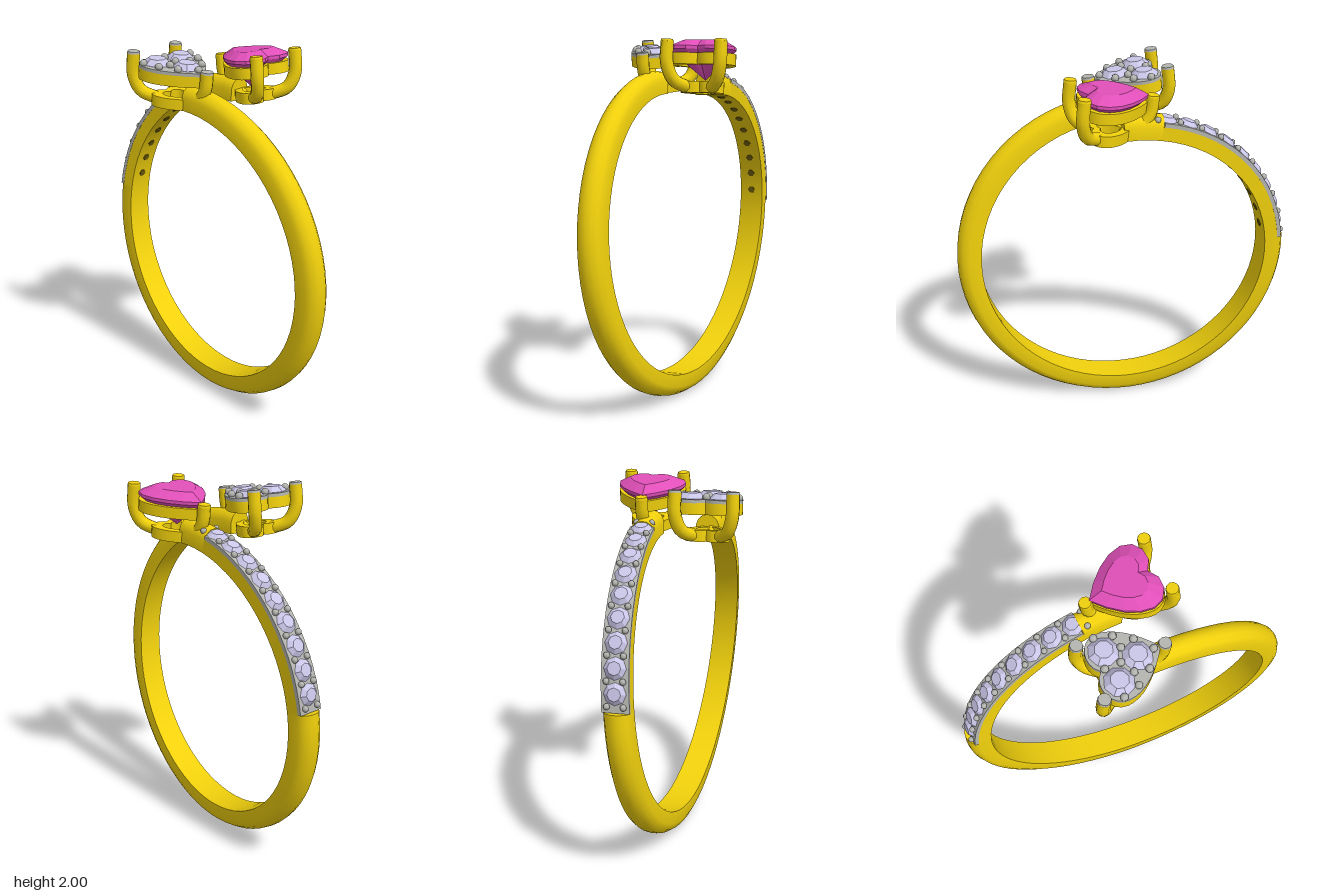
import * as THREE from 'three';
import { toCreasedNormals } from 'three/addons/utils/BufferGeometryUtils.js';

const mat = (color, flatShading = false) => new THREE.MeshStandardMaterial({ color, flatShading });
const gold = mat(0xf0d00c), silver = mat(0xb4b4b0), holeGold = mat(0x6e5c08);
const clear = mat(0xcac6e8, true), pink = mat(0xe04fb8, true);
const RAD = Math.PI / 180, CY = 0.91, R_IN = 0.787, R_OUT = 0.912;

function add(parent, name, geometry, material, x = 0, y = 0, z = 0) {
  const m = new THREE.Mesh(geometry, material);
  m.name = name;
  m.position.set(x, y, z);
  parent.add(m);
  return m;
}

// Skin over closed cross-section loops, with fan caps
function loft(rings) {
  const n = rings[0].length, pos = rings.flat(2), idx = [];
  for (let i = 0; i < rings.length - 1; i++)
    for (let j = 0; j < n; j++) {
      const a = i * n + j, b = i * n + (j + 1) % n;
      idx.push(a, a + n, b, b, a + n, b + n);
    }
  const e = (rings.length - 1) * n;
  for (let j = 1; j < n - 1; j++) idx.push(0, j, j + 1, e, e + j + 1, e + j);
  const g = new THREE.BufferGeometry();
  g.setAttribute('position', new THREE.Float32BufferAttribute(pos, 3));
  g.setIndex(idx);
  return g;
}

// Band path: angle t runs from the bottom (0) up either side, drifting in z
const bandZ = t => 0.165 * Math.sin(0.6 * t);
const halfWidth = t => 0.08 - 0.018 * Math.abs(t) / Math.PI;
const onBand = (t, r, dz = 0) => [r * Math.sin(t), CY - r * Math.cos(t), bandZ(t) + dz];
const SECTION = [[-1, 0], [-1, 0.55], [-0.8, 0.8], [-0.4, 0.96], [0, 1], [0.4, 0.96], [0.8, 0.8], [1, 0.55], [1, 0]];

function bandRing(t, rIn, rOut, dome, grow = 0) {
  return SECTION.map(([w, h]) => {
    const k = h === 0 ? 0 : 1 - (1 - h) * dome;
    return onBand(t, rIn + (rOut - rIn) * k, w * (halfWidth(t) + grow));
  });
}

function bandRings(from, to, rIn, rOut, dome, grow) {
  const n = Math.ceil((to - from) / 5), rings = [];
  for (let i = 0; i <= n; i++) rings.push(bandRing((from + (to - from) * i / n) * RAD, rIn, rOut, dome, grow));
  return rings;
}

// Small faceted round stone
const stoneGeometry = r => new THREE.LatheGeometry(
  [[0, -0.5], [1, 0], [0.6, 0.36], [0, 0.36]].map(([x, y]) => new THREE.Vector2(x * r, y * r)), 8);

// Heart outline, point toward +x
function heart(s = 1, Type = THREE.Shape) {
  const p = new Type();
  p.moveTo(0.19 * s, 0);
  p.bezierCurveTo(0.12 * s, 0.1 * s, 0.02 * s, 0.185 * s, -0.07 * s, 0.185 * s);
  p.bezierCurveTo(-0.16 * s, 0.185 * s, -0.2 * s, 0.06 * s, -0.13 * s, 0);
  p.bezierCurveTo(-0.2 * s, -0.06 * s, -0.16 * s, -0.185 * s, -0.07 * s, -0.185 * s);
  p.bezierCurveTo(0.02 * s, -0.185 * s, 0.12 * s, -0.1 * s, 0.19 * s, 0);
  return p;
}

function heartSlab(outer, inner, depth) {
  const shape = heart(outer);
  if (inner) shape.holes.push(heart(inner, THREE.Path));
  const g = new THREE.ExtrudeGeometry(shape, { depth, bevelEnabled: false, curveSegments: 8 });
  return toCreasedNormals(g.rotateX(-Math.PI / 2), 0.7);
}

// Heart basket: two rails and three curved prongs
function setting(name, tipMaterial) {
  const g = new THREE.Group();
  g.name = name;
  add(g, 'upperRail', heartSlab(1, 0.76, 0.06), gold, 0, -0.055);
  add(g, 'lowerRail', heartSlab(0.64, 0.36, 0.06), gold, 0, -0.2);
  const paths = [[[0.08, -0.17, 0], [0.16, -0.14, 0], [0.208, -0.06, 0], [0.213, 0.03, 0]]];
  for (const s of [-1, 1])
    paths.push([[-0.08, -0.17, 0.07 * s], [-0.15, -0.14, 0.12 * s], [-0.185, -0.06, 0.148 * s], [-0.188, 0.06, 0.15 * s]]);
  for (const p of paths) {
    const pts = p.map(q => new THREE.Vector3(...q));
    add(g, 'prong', new THREE.TubeGeometry(new THREE.CatmullRomCurve3(pts), 12, 0.035, 10), gold);
    add(g, 'prongFoot', new THREE.SphereGeometry(0.034, 10, 6), gold, ...p[0]);
    add(g, 'prongTip', new THREE.CylinderGeometry(0.032, 0.035, 0.012, 10), tipMaterial, p[3][0], p[3][1] + 0.004, p[3][2]);
  }
  g.rotation.z = -0.1;
  return g;
}

export function createModel() {
  const model = new THREE.Group();
  model.name = 'ring';

  // Band, stepped down where the small stones sit
  const band = loft([
    ...bandRings(-183, -169, R_IN, R_OUT, 1),
    ...bandRings(-169, -96, R_IN, 0.868, 0.05),
    ...bandRings(-96, 181, R_IN, R_OUT, 1),
  ]);
  add(model, 'band', toCreasedNormals(band, 0.6), gold);
  const seat = loft(bandRings(-168.8, -96.2, 0.862, 0.885, 0.1, 0.001));
  add(model, 'stoneSeat', toCreasedNormals(seat, 0.6), silver);

  // Row of stones with drilled backs, and bead pairs between them
  const row = new THREE.Group();
  row.name = 'stoneRow';
  model.add(row);
  const small = stoneGeometry(0.058), bead = new THREE.SphereGeometry(0.017, 8, 6);
  const drill = new THREE.CylinderGeometry(0.022, 0.022, 0.01, 6);
  for (let i = 0; i < 10; i++) {
    const tBead = -(98.3 + 8.1 * i) * RAD;
    for (const s of [-1, 1]) add(row, 'bead', bead, silver, ...onBand(tBead, 0.892, s * 0.042));
    if (i === 9) break;
    const t = -(102.4 + 8.1 * i) * RAD;
    add(row, 'smallStone', small, clear, ...onBand(t, 0.884)).rotation.z = t + Math.PI;
    add(row, 'drilledHole', drill, holeGold, ...onBand(t, R_IN)).rotation.z = t + Math.PI;
  }

  // Front heart: plate set with three stones and beads
  const front = setting('pavedHeart', silver);
  front.position.set(-0.08, 1.905, 0.18);
  model.add(front);
  add(front, 'plate', heartSlab(1, 0, 0.018), silver, 0, 0.004);
  const heartStone = stoneGeometry(0.078);
  for (const [x, z] of [[-0.075, -0.085], [-0.075, 0.085], [0.065, 0]])
    add(front, 'heartStone', heartStone, clear, x, 0.024, z);
  for (const [x, z] of [[0.15, 0], [0.085, 0.085], [0.01, 0.07], [0, 0.14], [-0.09, 0.166]])
    for (const s of z ? [-1, 1] : [1]) add(front, 'bead', new THREE.SphereGeometry(0.021, 8, 6), silver, x, 0.032, z * s);
  for (const x of [-0.11, -0.025]) add(front, 'bead', new THREE.SphereGeometry(0.021, 8, 6), silver, x, 0.032, 0);

  // Rear heart: one large faceted gem, turned half round
  const rear = new THREE.Group();
  rear.name = 'gemHeart';
  rear.position.set(0.1, 1.905, -0.18);
  rear.rotation.y = Math.PI;
  model.add(rear);
  const basket = setting('gemSetting', gold);
  rear.add(basket);
  const outline = heart().getPoints(4).slice(0, 16);
  const gem = loft([[0, -0.13], [1, 0.025], [1, 0.042], [0.62, 0.078], [0, 0.078]].map(
    ([s, y]) => outline.map(p => [p.x * s, y, p.y * s])));
  gem.computeVertexNormals();
  add(basket, 'heartGem', gem, pink);

  return model;
}
